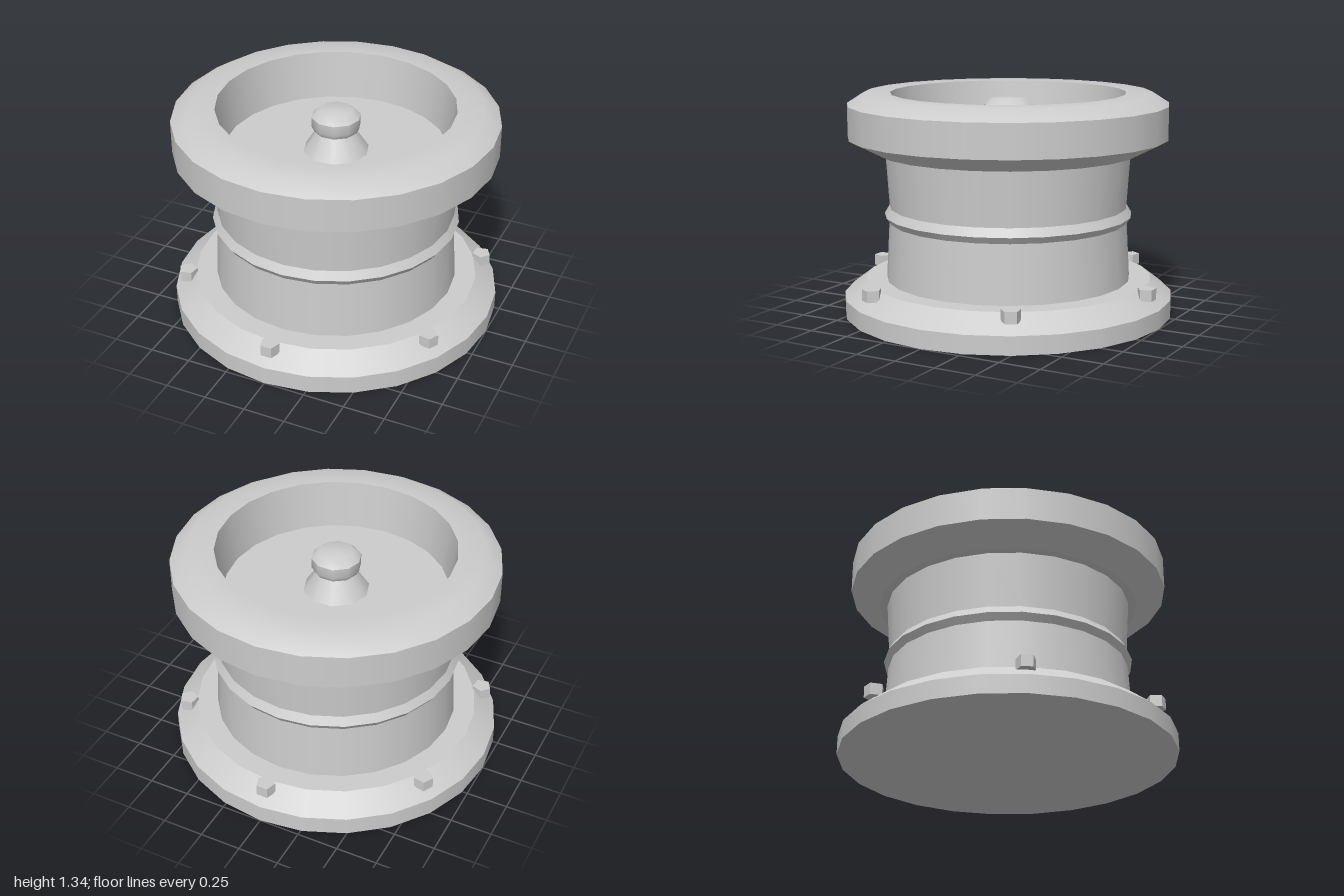
import * as THREE from 'three';

export function createModel() {
  const model = new THREE.Group();
  const grey = new THREE.MeshStandardMaterial({ color: 0xcccccc });
  grey.name = 'plain grey';

  // Each strip is a smooth run of [radius, height]; edges between strips stay sharp.
  function turned(name, sides, strips) {
    const part = new THREE.Group();
    part.name = name;
    for (const strip of strips) {
      const points = strip.map(([r, y]) => new THREE.Vector2(r, y));
      const mesh = new THREE.Mesh(new THREE.LatheGeometry(points, sides), grey);
      mesh.name = name + 'Surface';
      part.add(mesh);
    }
    model.add(part);
    return part;
  }

  // Splits a profile into one sharp strip per pair of points.
  const sharp = (pts) => pts.slice(1).map((p, i) => [pts[i], p]);

  turned('baseFlange', 24, sharp([[0, 0], [1, 0], [1, 0.11], [0.87, 0.21], [0.7, 0.21]]));

  // Waisted drum with a pointed ridge round the middle
  turned('drum', 24, sharp([[0.742, 0.21], [0.722, 0.56], [0.75, 0.6], [0.72, 0.65], [0.742, 0.98]]));

  // Heavy upper ring with a sunken dish
  turned('rim', 24, [
    [[0.7, 0.98], [0.79, 0.98]],
    [[0.79, 0.98], [0.966, 1.07]],
    [[0.966, 1.07], [0.966, 1.27]],
    [[0.966, 1.27], [0.865, 1.335], [0.707, 1.335]],
    [[0.707, 1.335], [0.67, 1.04]],
  ]);
  turned('dishFloor', 24, [[[0.67, 1.04], [0, 1.04]]]);

  // Central knob on a conical stem
  const stem = turned('knobStem', 10, [[[0.197, 1.04], [0.105, 1.18]]]);
  const knob = turned('knob', 10, [
    [[0, 1.17], [0.13, 1.17]],
    [[0.13, 1.17], [0.147, 1.2], [0.147, 1.26]],
    [[0.147, 1.26], [0.1, 1.3], [0, 1.305]],
  ]);
  stem.rotation.y = knob.rotation.y = Math.PI / 2;

  // Five-sided bolts round the flange, each with a corner pointing inward
  const boltGeometry = new THREE.CylinderGeometry(0.058, 0.058, 0.068, 5).toNonIndexed();
  boltGeometry.computeVertexNormals();
  for (let i = 0; i < 6; i++) {
    const angle = (i * Math.PI) / 3;
    const bolt = new THREE.Mesh(boltGeometry, grey);
    bolt.name = 'bolt';
    bolt.position.set(0.92 * Math.sin(angle), 0.203, 0.92 * Math.cos(angle));
    bolt.rotation.y = angle + Math.PI;
    model.add(bolt);
  }

  return model;
}
